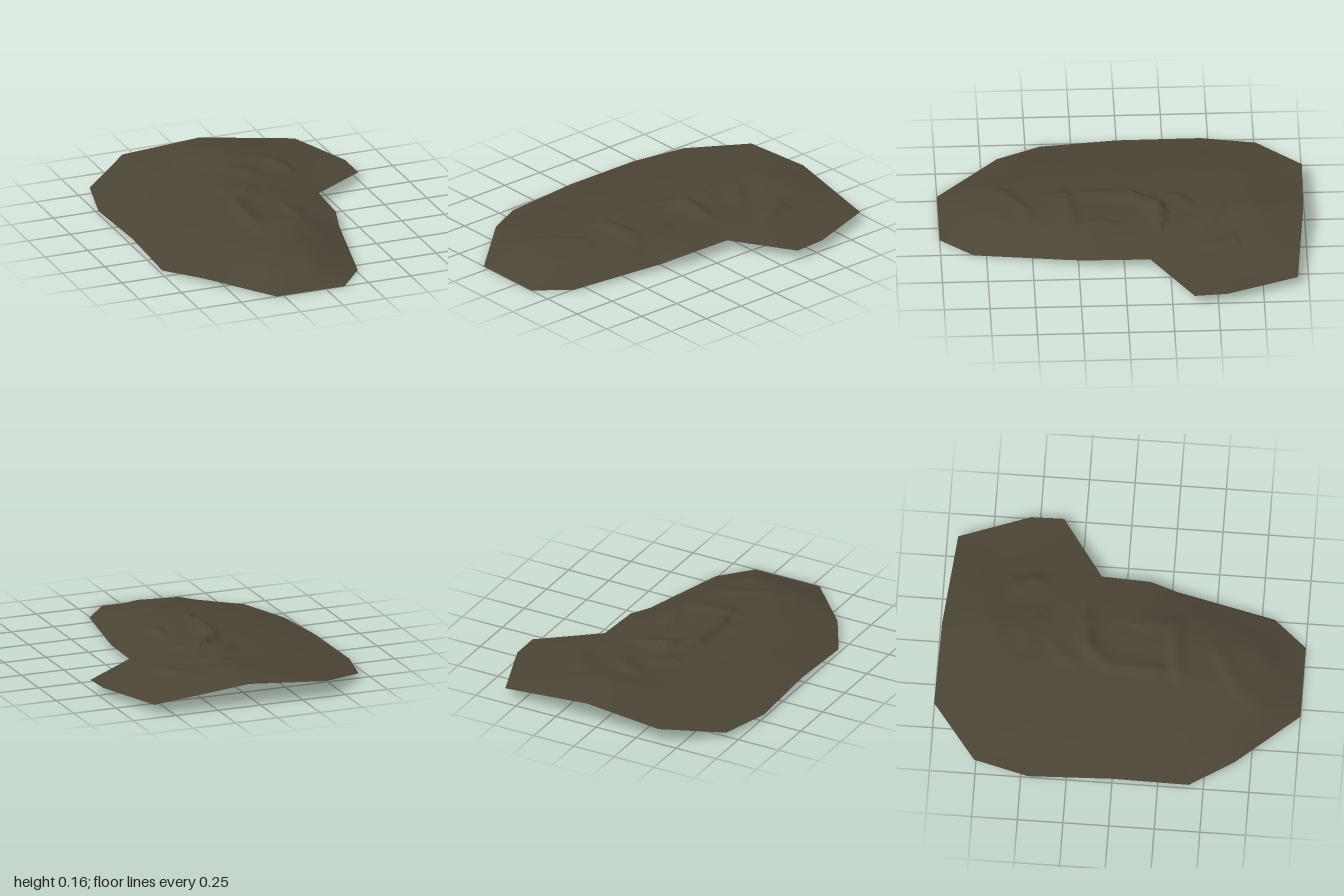
import * as THREE from 'three';

// Rim corners of the land sheet: x, y, z, clockwise from the back
const RIM = [
  [-0.39, 0.09, -1], [0.06, 0.125, -0.99], [0.6, 0.055, -0.94], [0.74, 0.055, -0.55],
  [0.745, 0.05, -0.37], [0.42, 0.065, -0.14], [0.41, 0.06, 0.13], [0.37, 0.035, 0.28],
  [0.26, 0.003, 0.82], [0.11, 0, 1], [-0.29, 0, 1], [-0.59, 0.025, 0.66],
  [-0.73, 0, 0.42], [-0.735, 0.027, 0], [-0.75, 0.018, -0.46], [-0.68, 0.03, -0.76],
];

// Heights of the broad hill inside the rim
const HILL = [
  [0, 0.085, 0.78], [-0.25, 0.078, 0.76], [0.08, 0.092, 0.6], [-0.2, 0.094, 0.58],
  [0.05, 0.112, 0.4], [-0.2, 0.1, 0.35], [-0.46, 0.065, 0.4], [0.2, 0.085, 0.4],
  [0.02, 0.122, 0.2], [0.2, 0.1, 0.18], [-0.2, 0.102, 0.1], [-0.46, 0.073, 0.05],
  [0.05, 0.113, 0], [0.22, 0.1, -0.05], [0.06, 0.118, -0.2], [-0.2, 0.1, -0.2],
  [0.25, 0.1, -0.25], [-0.46, 0.073, -0.35], [0.06, 0.113, -0.4], [-0.2, 0.1, -0.5],
  [0.4, 0.085, -0.4], [0.22, 0.105, -0.5], [0.3, 0.105, -0.62], [0.07, 0.15, -0.72],
  [0.28, 0.12, -0.76], [0.46, 0.078, -0.7], [-0.2, 0.11, -0.76], [-0.46, 0.073, -0.7],
];

// Rocky crests: start x, z, end x, z, height
const CRESTS = [
  [-0.2, 0.65, 0, 0.52, 0.014], [-0.11, 0.3, 0.13, 0.27, 0.02],
  [-0.13, 0.2, -0.12, -0.06, 0.026], [-0.06, -0.14, 0, -0.2, 0.02],
  [0, -0.2, 0.14, -0.21, 0.02], [0.14, 0.2, 0.13, 0.1, 0.014],
  [0.04, -0.54, 0.14, -0.47, 0.016], [0.33, -0.6, 0.37, -0.5, 0.02],
  [-0.1, -0.3, -0.04, -0.36, 0.012],
];

// Solves for weights of a surface that passes through every given height
function fitSurface(points) {
  const n = points.length;
  const m = points.map(p => [...points.map(q => Math.hypot(p[0] - q[0], p[2] - q[2])), p[1]]);
  for (let c = 0; c < n; c++) {
    let best = c;
    for (let r = c + 1; r < n; r++) if (Math.abs(m[r][c]) > Math.abs(m[best][c])) best = r;
    [m[c], m[best]] = [m[best], m[c]];
    for (let r = 0; r < n; r++) {
      if (r === c) continue;
      const f = m[r][c] / m[c][c];
      for (let k = c; k <= n; k++) m[r][k] -= f * m[c][k];
    }
  }
  const weights = m.map((row, i) => row[n] / row[i]);
  return (x, z) => points.reduce((sum, p, i) => sum + weights[i] * Math.hypot(x - p[0], z - p[2]), 0);
}

// Crest bump: steep on one flank, gentle on the other
function crestHeight(x, z) {
  let sum = 0;
  for (const [x1, z1, x2, z2, h] of CRESTS) {
    const dx = x2 - x1, dz = z2 - z1;
    const t = THREE.MathUtils.clamp(((x - x1) * dx + (z - z1) * dz) / (dx * dx + dz * dz), 0, 1);
    const d = Math.hypot(x - x1 - t * dx, z - z1 - t * dz);
    const side = (x - x1) * dz - (z - z1) * dx;
    sum += h * Math.exp(-((d / (side > 0 ? 0.025 : 0.06)) ** 2));
  }
  return sum;
}

export function createModel() {
  const STEPS = 12, RINGS = 48, CENTRE = [0, -0.1];
  const lerp = THREE.MathUtils.lerp;

  // Divide each straight rim edge into equal steps
  const rim = [];
  RIM.forEach((a, i) => {
    const b = RIM[(i + 1) % RIM.length];
    for (let s = 0; s < STEPS; s++) rim.push(a.map((v, k) => lerp(v, b[k], s / STEPS)));
  });
  const n = rim.length;
  const surface = fitSurface([...rim.filter((_, i) => i % 4 === 0), ...HILL]);
  const height = (x, z) => Math.max(0, surface(x, z) + crestHeight(x, z));

  // Rings of the rim outline shrinking to the centre
  const positions = [CENTRE[0], height(...CENTRE), CENTRE[1]];
  const index = [];
  const id = (ring, j) => (ring === 0 ? 0 : 1 + (ring - 1) * n + (j % n));
  for (let ring = 1; ring <= RINGS; ring++) {
    const t = ring / RINGS;
    for (let j = 0; j < n; j++) {
      const x = lerp(CENTRE[0], rim[j][0], t), z = lerp(CENTRE[1], rim[j][2], t);
      positions.push(x, ring === RINGS ? rim[j][1] : height(x, z), z);
      index.push(id(ring - 1, j), id(ring, j + 1), id(ring, j));
      if (ring > 1) index.push(id(ring - 1, j), id(ring - 1, j + 1), id(ring, j + 1));
    }
  }
  const geometry = new THREE.BufferGeometry();
  geometry.setAttribute('position', new THREE.Float32BufferAttribute(positions, 3));
  geometry.setIndex(index);
  geometry.computeVertexNormals();

  const earth = new THREE.MeshStandardMaterial({ color: 0x4b4536, side: THREE.DoubleSide });
  earth.name = 'darkEarth';
  const terrain = new THREE.Mesh(geometry, earth);
  terrain.name = 'rockyTerrain';

  const group = new THREE.Group();
  group.name = 'hillside';
  group.add(terrain);
  return group;
}
